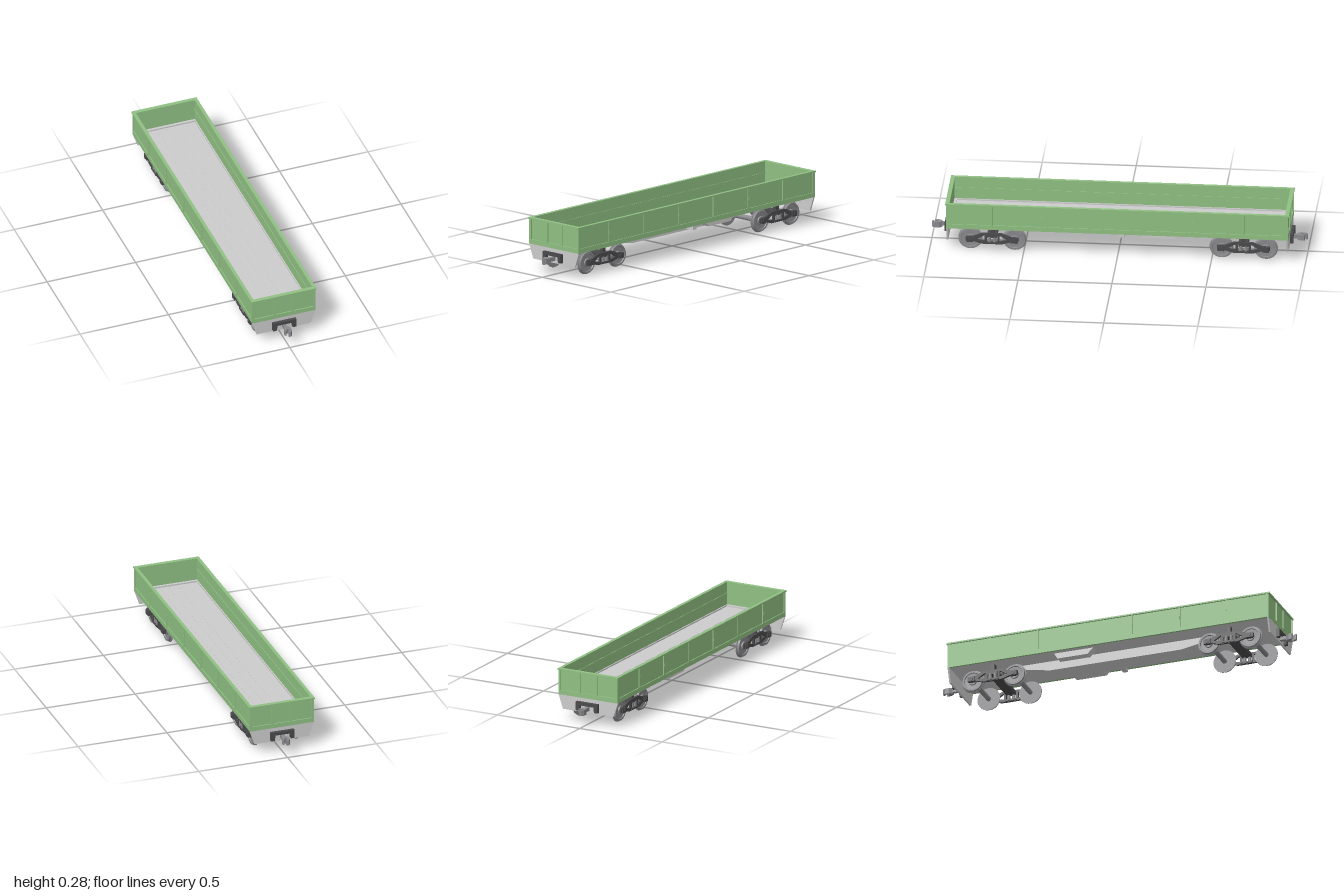
import * as THREE from 'three';

const mat = (color) => new THREE.MeshStandardMaterial({ color });
const grey = mat(0xcccccc);
const green = mat(0x8fbf82);
const steel = mat(0x8a8a8e);
const dark = mat(0x4a4a4c);

function add(parent, name, geometry, material = grey) {
  const mesh = new THREE.Mesh(geometry, material);
  mesh.name = name;
  parent.add(mesh);
  return mesh;
}

// Box given by its minimum and maximum on each axis
function box(parent, name, x0, x1, y0, y1, z0, z1, material) {
  const g = new THREE.BoxGeometry(x1 - x0, y1 - y0, z1 - z0);
  g.translate((x0 + x1) / 2, (y0 + y1) / 2, (z0 + z1) / 2);
  return add(parent, name, g, material);
}

const outline = (points) => new THREE.Shape(points.map(([a, b]) => new THREE.Vector2(a, b)));

// Profile in (z, y), extruded across x from x0 to x1
function sideExtrude(shape, x0, x1) {
  const g = new THREE.ExtrudeGeometry(shape, { depth: x1 - x0, bevelEnabled: false, curveSegments: 10 });
  return g.rotateY(-Math.PI / 2).translate(x1, 0, 0);
}

function buildBody() {
  const body = new THREE.Group();
  body.name = 'body';
  box(body, 'floor', -0.17, 0.17, 0.14, 0.15, -0.9, 0.9);
  for (const x of [-0.05, 0, 0.05]) box(body, 'floorSeam', x - 0.001, x + 0.001, 0.15, 0.151, -0.885, 0.885);

  for (const s of [-1, 1]) {
    const wall = (name, a, b, ...rest) => box(body, name, Math.min(s * a, s * b), Math.max(s * a, s * b), ...rest, green);
    wall('sidePanel', 0.168, 0.175, 0.14, 0.28, -0.905, 0.905);
    wall('sideSill', 0.168, 0.18, 0.14, 0.165, -0.91, 0.91);
    wall('sideRim', 0.166, 0.184, 0.275, 0.283, -0.914, 0.914);
    wall('insideRail', 0.165, 0.169, 0.216, 0.222, -0.9, 0.9);
    for (let i = 0; i < 6; i++) {
      const z = -0.67 + i * 0.268;
      wall('sidePost', 0.174, 0.18, 0.164, 0.276, z - 0.006, z + 0.006);
      wall('postBracket', 0.178, 0.182, 0.212, 0.225, z - 0.005, z + 0.005);
    }
    for (const e of [-1, 1]) {
      const z0 = Math.min(e * 0.896, e * 0.91), z1 = Math.max(e * 0.896, e * 0.91);
      wall('cornerPost', 0.167, 0.18, 0.164, 0.276, z0, z1);
    }
    // Low ledge along the foot of the wall
    box(body, 'floorLedge', Math.min(s * 0.162, s * 0.169), Math.max(s * 0.162, s * 0.169), 0.15, 0.158, -0.895, 0.895);
  }

  for (const s of [-1, 1]) {
    const end = (name, x0, x1, y0, y1, a, b, m = green) =>
      box(body, name, x0, x1, y0, y1, Math.min(s * a, s * b), Math.max(s * a, s * b), m);
    end('endPanel', -0.172, 0.172, 0.14, 0.28, 0.895, 0.904);
    end('endSill', -0.18, 0.18, 0.14, 0.165, 0.895, 0.91);
    end('endRim', -0.184, 0.184, 0.275, 0.283, 0.892, 0.914);
    for (const x of [-0.052, 0.052]) end('endPost', x - 0.0065, x + 0.0065, 0.164, 0.276, 0.9, 0.91);
    end('endLedge', -0.168, 0.168, 0.15, 0.158, 0.88, 0.896, grey);
  }
  return body;
}

function buildUnderframe() {
  const frame = new THREE.Group();
  frame.name = 'underframe';
  // Deep belly of the centre sill
  const belly = outline([[-0.62, 0.142], [-0.62, 0.132], [-0.37, 0.088], [0.37, 0.088], [0.62, 0.132], [0.62, 0.142]]);
  add(frame, 'centreSill', sideExtrude(belly, -0.06, 0.06));
  // Equipment boxes under the floor
  const tank = outline([[-0.32, 0.142], [-0.3, 0.108], [-0.13, 0.108], [-0.095, 0.142]]);
  add(frame, 'equipmentBoxLeft', sideExtrude(tank, 0.1, 0.145));
  add(frame, 'equipmentBoxRight', sideExtrude(tank, -0.145, -0.1));
  box(frame, 'smallBox', 0.1, 0.145, 0.108, 0.142, -0.035, -0.008);
  // Tapered end plates
  for (const s of [-1, 1]) {
    const plate = outline([[-0.18, 0.14], [-0.153, 0.062], [0.153, 0.062], [0.18, 0.14]]);
    const g = new THREE.ExtrudeGeometry(plate, { depth: 0.009, bevelEnabled: false });
    add(frame, 'endPlate', g.translate(0, 0, s * 0.9045 - 0.0045));
  }
  return frame;
}

// Wheel profile as (radius, x), with the flange on the inner side
function wheelGeometry() {
  const profile = [[0, 0.113], [0.064, 0.113], [0.064, 0.117], [0.058, 0.12], [0.057, 0.131],
    [0.047, 0.131], [0.045, 0.126], [0.024, 0.125], [0.022, 0.132], [0, 0.132]];
  // Each span is its own band so that the rims stay crisp
  const points = profile.flatMap(([r, x], i) => {
    const p = new THREE.Vector2(r, x);
    return i > 0 && i < profile.length - 1 ? [p, p.clone()] : [p];
  });
  return new THREE.LatheGeometry(points, 32).rotateZ(-Math.PI / 2);
}

function buildBogie(z) {
  const bogie = new THREE.Group();
  bogie.name = 'bogie';
  bogie.position.z = z;
  const half = 0.118;

  for (const az of [-half, half]) {
    const axle = new THREE.CylinderGeometry(0.013, 0.013, 0.24, 16).rotateZ(Math.PI / 2);
    add(bogie, 'axle', axle, steel).position.set(0, 0.064, az);
    for (const s of [-1, 1]) {
      const wheel = add(bogie, 'wheel', wheelGeometry(), steel);
      wheel.position.set(0, 0.064, az);
      if (s < 0) wheel.rotation.y = Math.PI;
    }
  }

  // Cast side frame: arched top, sagging bottom and three openings
  const frame = outline([[-0.14, 0.056], [-0.1, 0.056], [-0.055, 0.042], [0.055, 0.042], [0.1, 0.056], [0.14, 0.056],
    [0.14, 0.08], [0.1, 0.083], [0.05, 0.103], [-0.05, 0.103], [-0.1, 0.083], [-0.14, 0.08]]);
  frame.holes.push(outline([[-0.028, 0.054], [0.028, 0.054], [0.028, 0.092], [-0.028, 0.092]]));
  for (const s of [-1, 1]) {
    frame.holes.push(outline([[s * 0.04, 0.057], [s * 0.082, 0.066], [s * 0.046, 0.089], [s * 0.04, 0.089]]));
  }
  for (const s of [-1, 1]) {
    const x0 = Math.min(s * 0.134, s * 0.146);
    add(bogie, 'sideFrame', sideExtrude(frame, x0, x0 + 0.012), dark);
    for (const az of [-half, half]) {
      box(bogie, 'axleBox', s * 0.143 - 0.01, s * 0.143 + 0.01, 0.052, 0.079, az - 0.018, az + 0.018, dark);
      const cap = new THREE.CylinderGeometry(0.011, 0.011, 0.004, 12).rotateZ(Math.PI / 2);
      add(bogie, 'axleCap', cap, dark).position.set(s * 0.154, 0.0645, az);
    }
    // Bolster springs
    for (const sz of [-0.014, 0.014]) {
      const spring = new THREE.CylinderGeometry(0.009, 0.009, 0.03, 12);
      add(bogie, 'spring', spring, steel).position.set(s * 0.14, 0.067, sz);
    }
    box(bogie, 'springSeat', s * 0.14 - 0.011, s * 0.14 + 0.011, 0.044, 0.054, -0.035, 0.035, dark);
    box(bogie, 'sideBearer', s * 0.125 - 0.012, s * 0.125 + 0.012, 0.1, 0.14, -0.01, 0.01, dark);
  }
  box(bogie, 'bolster', -0.146, 0.146, 0.078, 0.1, -0.026, 0.026, dark);
  add(bogie, 'pivot', new THREE.CylinderGeometry(0.03, 0.03, 0.05, 20), dark).position.y = 0.118;
  return bogie;
}

function buildCoupler() {
  const coupler = new THREE.Group();
  coupler.name = 'coupler';
  // Bridge-shaped pocket on the end plate
  const pocket = outline([[-0.066, 0.072], [-0.045, 0.072], [-0.042, 0.102], [0.042, 0.102],
    [0.045, 0.072], [0.066, 0.072], [0.066, 0.12], [-0.066, 0.12]]);
  const g = new THREE.ExtrudeGeometry(pocket, { depth: 0.02, bevelEnabled: false });
  add(coupler, 'pocket', g.translate(0, 0, 0.907), dark);
  box(coupler, 'shank', -0.009, 0.009, 0.076, 0.096, 0.9, 0.962, steel);
  // Hooked jaw, drawn in plan as (x, -z) and raised along y
  const jaw = outline([[-0.01, 0.945], [0.01, 0.945], [0.019, 0.96], [0.018, 0.985], [0.008, 1], [-0.004, 0.997],
    [-0.004, 0.989], [0.006, 0.986], [0.008, 0.972], [0, 0.966], [-0.008, 0.972], [-0.013, 0.985],
    [-0.02, 0.98], [-0.019, 0.962]].map(([x, z]) => [x, -z]));
  const head = new THREE.ExtrudeGeometry(jaw, { depth: 0.031, bevelEnabled: false });
  add(coupler, 'jaw', head.rotateX(-Math.PI / 2).translate(0, 0.069, 0), steel);
  return coupler;
}

export function createModel() {
  const model = new THREE.Group();
  model.name = 'gondolaWagon';
  model.add(buildBody(), buildUnderframe());
  for (const s of [-1, 1]) {
    model.add(buildBogie(s * 0.668));
    const coupler = buildCoupler();
    if (s < 0) coupler.rotation.y = Math.PI;
    model.add(coupler);
  }
  return model;
}
